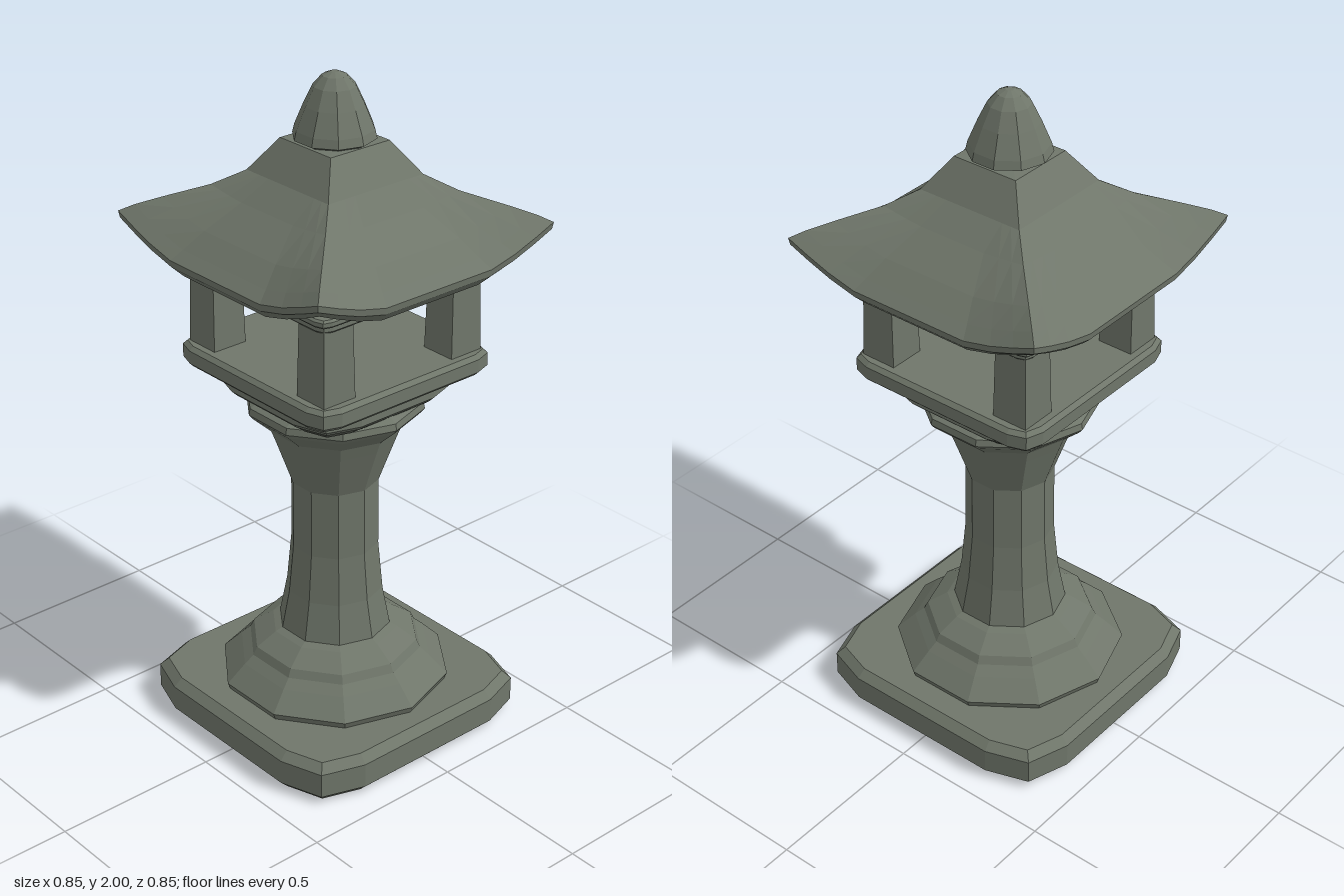
import * as THREE from 'three';

const stone = new THREE.MeshStandardMaterial({ color: 0x6f766a, flatShading: true });
stone.name = 'weathered stone';

function add(parent, geometry, name) {
  const mesh = new THREE.Mesh(geometry, stone);
  mesh.name = name;
  parent.add(mesh);
  return mesh;
}

// Square slab with softened corners and bevelled top and bottom edges
function slab(half, corner, y0, y1, bevel) {
  const h = half - bevel, c = h - corner;
  const s = new THREE.Shape();
  s.moveTo(c, -h);
  s.quadraticCurveTo(h, -h, h, -c);
  s.lineTo(h, c);
  s.quadraticCurveTo(h, h, c, h);
  s.lineTo(-c, h);
  s.quadraticCurveTo(-h, h, -h, c);
  s.lineTo(-h, -c);
  s.quadraticCurveTo(-h, -h, -c, -h);
  s.closePath();
  const g = new THREE.ExtrudeGeometry(s, {
    depth: y1 - y0 - 2 * bevel, bevelEnabled: true, bevelSegments: 1,
    bevelSize: bevel, bevelThickness: bevel, curveSegments: 2,
  });
  g.rotateX(-Math.PI / 2);
  g.translate(0, y0 + bevel, 0);
  return g;
}

// Ten-sided turned stone, profile listed from bottom to top
function turned(profile) {
  const g = new THREE.LatheGeometry(profile.map(([r, y]) => new THREE.Vector2(r, y)), 10);
  g.rotateY(Math.PI / 10 * 5);
  return g;
}

// Four curved roof faces: each profile row is [half width, ridge height, sag at mid-face]
function roof() {
  const rows = [
    [0, 1.815, 0], [0.105, 1.81, 0], [0.17, 1.715, 0], [0.24, 1.67, 0.015],
    [0.335, 1.63, 0.045], [0.39, 1.605, 0.068], [0.423, 1.585, 0.075],
    [0.42, 1.565, 0.075], [0.39, 1.535, 0.075], [0.33, 1.56, 0.055],
    [0.24, 1.61, 0.025], [0.15, 1.67, 0], [0, 1.67, 0],
  ];
  const cols = [-1, -0.84, -0.66, -0.45, 0.45, 0.66, 0.84, 1];
  const n = cols.length, pos = [], index = [];
  for (let k = 0; k < 4; k++) {
    const c = Math.cos(k * Math.PI / 2), s = Math.sin(k * Math.PI / 2);
    const start = pos.length / 3;
    rows.forEach(([r, y, sag], i) => cols.forEach((t, j) => {
      const lift = Math.pow(Math.max(0, Math.abs(t) - 0.45) / 0.55, 1.3);
      const x = t * r;
      pos.push(x * c + r * s, y - sag * (1 - lift), r * c - x * s);
      if (i < rows.length - 1 && j < n - 1) {
        const a = start + i * n + j;
        index.push(a, a + n, a + 1, a + 1, a + n, a + n + 1);
      }
    }));
  }
  const g = new THREE.BufferGeometry();
  g.setAttribute('position', new THREE.Float32BufferAttribute(pos, 3));
  g.setIndex(index);
  g.computeVertexNormals();
  return g;
}

export function createModel() {
  const model = new THREE.Group();
  model.name = 'stoneLantern';

  // Foot and turned pedestal
  add(model, slab(0.42, 0.15, 0, 0.125, 0.025), 'base');
  add(model, turned([
    [0, 0.12], [0.335, 0.12], [0.345, 0.145], [0.29, 0.2], [0.262, 0.225], [0.25, 0.25],
    [0.19, 0.29], [0.168, 0.3], [0.145, 0.42], [0.131, 0.57], [0.13, 0.78], [0.18, 0.92],
    [0.195, 0.96], [0.25, 1.01], [0.262, 1.025], [0.258, 1.045], [0.225, 1.065], [0, 1.065],
  ]), 'pedestal');

  // Stepped platform under the light chamber
  add(model, slab(0.24, 0.09, 1.055, 1.085, 0.008), 'lowerCollar');
  add(model, slab(0.267, 0.12, 1.07, 1.135, 0.015), 'upperCollar');
  add(model, slab(0.322, 0.06, 1.135, 1.198, 0.012), 'platform');

  // Open chamber with four corner posts
  const chamber = new THREE.Group();
  chamber.name = 'lightChamber';
  model.add(chamber);
  for (const x of [-1, 1]) for (const z of [-1, 1]) {
    const g = new THREE.CylinderGeometry(0.051 * Math.SQRT2, 0.056 * Math.SQRT2, 0.235, 4);
    g.rotateY(Math.PI / 4);
    add(chamber, g, 'cornerPost').position.set(x * 0.234, 1.307, z * 0.234);
  }
  add(chamber, slab(0.295, 0.03, 1.415, 1.442, 0.006), 'lintel');
  add(chamber, slab(0.31, 0.03, 1.438, 1.462, 0.006), 'ceiling');
  const core = new THREE.BoxGeometry(0.28, 0.24, 0.28);
  add(chamber, core, 'roofSupport').position.y = 1.57;

  // Sweeping roof and its finial
  add(model, roof(), 'roof');
  add(model, turned([
    [0, 1.8], [0.08, 1.8], [0.118, 1.82], [0.112, 1.845], [0.085, 1.91],
    [0.06, 1.962], [0.035, 1.99], [0.012, 2], [0, 2],
  ]), 'finial');

  return model;
}
